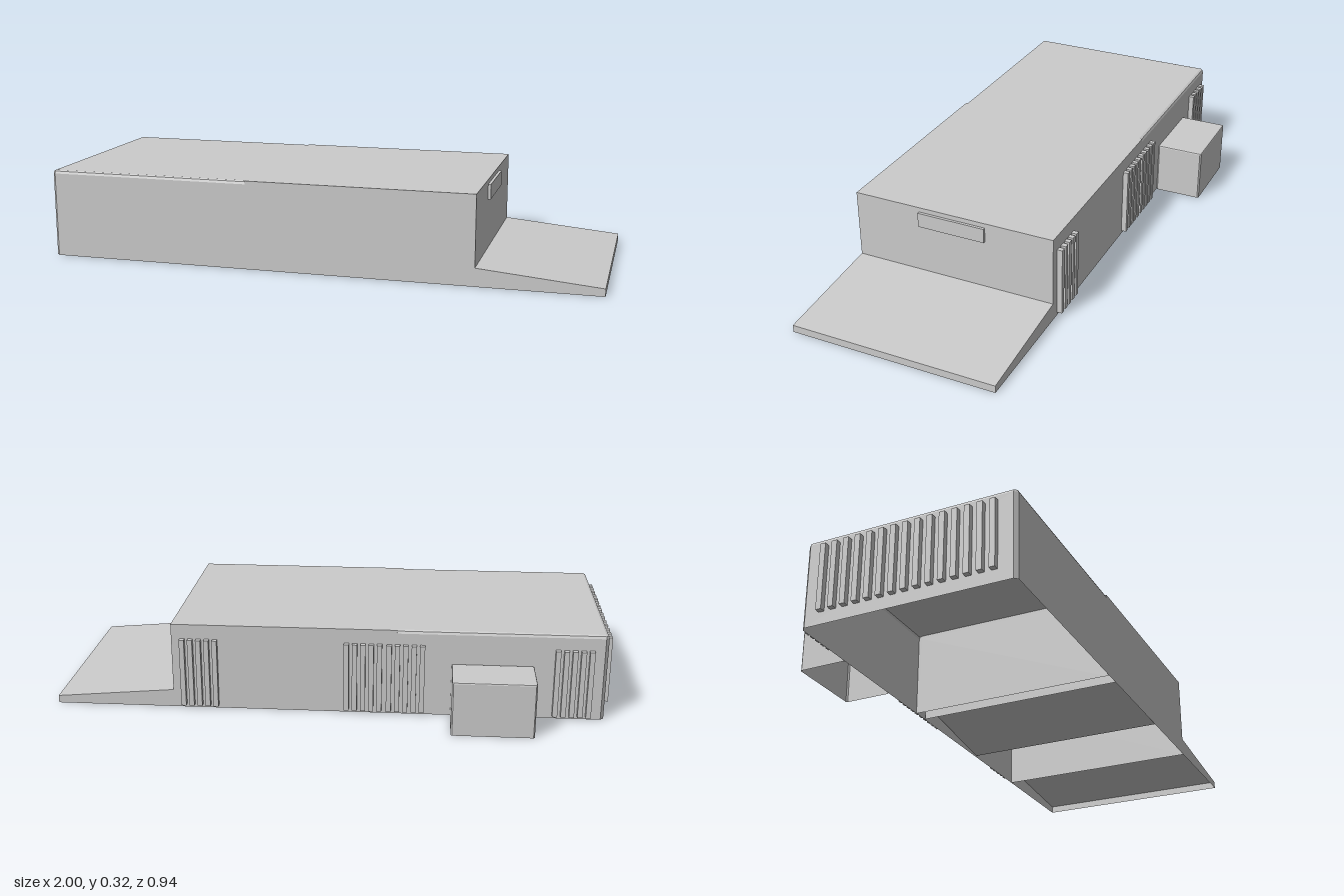
import * as THREE from 'three';

const material = new THREE.MeshStandardMaterial({ color: 0xcccccc, side: THREE.DoubleSide, flatShading: true });

function add(group, name, geometry) {
  const mesh = new THREE.Mesh(geometry, material);
  mesh.name = name;
  group.add(mesh);
  return mesh;
}

function box(group, name, x0, x1, y0, y1, z0, z1) {
  const mesh = add(group, name, new THREE.BoxGeometry(x1 - x0, y1 - y0, z1 - z0));
  mesh.position.set((x0 + x1) / 2, (y0 + y1) / 2, (z0 + z1) / 2);
  return mesh;
}

// Bottomless shell with softened corners; cR = 0 leaves the +x end square
function shell(x0, x1, z0, z1, h, c, cR) {
  const ring = (y, d, e) => [
    [x1 - cR - e, y, z1 - d], [x0 + c, y, z1 - d], [x0 + d, y, z1 - c], [x0 + d, y, z0 + c],
    [x0 + c, y, z0 + d], [x1 - cR - e, y, z0 + d], [x1 - e, y, z0 + c], [x1 - e, y, z1 - c],
  ];
  const rings = [ring(0, 0, 0), ring(h - c, 0, 0), ring(h - c * 0.3, c * 0.3, cR * 0.3), ring(h, c, cR)];
  const n = rings[0].length;
  const index = [];
  for (let r = 0; r < rings.length - 1; r++) {
    for (let i = 0; i < n; i++) {
      const a = r * n + i, b = r * n + (i + 1) % n;
      index.push(a, a + n, b, b, a + n, b + n);
    }
  }
  const top = (rings.length - 1) * n;
  for (let i = 1; i < n - 1; i++) index.push(top, top + i + 1, top + i);
  const geometry = new THREE.BufferGeometry();
  geometry.setAttribute('position', new THREE.Float32BufferAttribute(rings.flat(2), 3));
  geometry.setIndex(index);
  const flat = geometry.toNonIndexed();
  flat.computeVertexNormals();
  return flat;
}

// Sheet swept across z along an x-y profile
function sheet(profile, z0, z1) {
  const geometry = new THREE.PlaneGeometry(1, 1, profile.length - 1, 1);
  const p = geometry.attributes.position, n = profile.length;
  for (let i = 0; i < p.count; i++) {
    const [x, y] = profile[i % n];
    p.setXYZ(i, x, y, i < n ? z0 : z1);
  }
  geometry.computeVertexNormals();
  return geometry;
}

// Upright side panel in the x-y plane
function sidePanel(points, z) {
  const shape = new THREE.Shape(points.map(([x, y]) => new THREE.Vector2(x, y)));
  return new THREE.ShapeGeometry(shape).translate(0, 0, z);
}

export function createModel() {
  const model = new THREE.Group();
  const L = -0.98, M = -0.24, R = 0.57, back = -0.292, front = 0.468, H = 0.317;

  // Two bottomless halves of the main body
  add(model, 'endHall', shell(L, M, back, front, H, 0.012, 0));
  const hall = new THREE.BoxGeometry(R - M, H, front - back);
  const faces = Array.from(hall.index.array);
  faces.splice(18, 6); // open underside
  hall.setIndex(faces);
  add(model, 'mainHall', hall).position.set((M + R) / 2, H / 2, (front + back) / 2);

  // Ramp, open underneath
  const rampProfile = [[R, 0.065], [1, 0.027], [1, 0]];
  add(model, 'ramp', sheet(rampProfile, back, front));
  for (const z of [back, front]) add(model, 'rampSide', sidePanel([[R, 0], ...[...rampProfile].reverse()], z));

  // Sloping floor inside the main hall
  add(model, 'innerRamp', sheet([[-0.18, 0], [-0.18, 0.06], [0.24, 0.004]], back + 0.003, front - 0.003));

  // Annex on the back wall
  const annex = shell(-0.725, -0.435, -0.47, back, 0.197, 0.005, 0.005);
  add(model, 'annex', annex);

  // Panel above the ramp
  box(model, 'endPanel', R, 0.58, 0.246, 0.3, -0.038, 0.217);

  // Upright slats in groups of five along the back wall
  for (const [start, top] of [[-0.932, 0.26], [-0.34, 0.264], [-0.188, 0.264], [0.403, 0.264]]) {
    const slats = new THREE.Group();
    slats.name = 'backSlats';
    for (let i = 0; i < 5; i++) {
      const x = start + i * 0.0295;
      box(slats, 'slat', x, x + 0.018, 0.012, top, -0.311, back);
    }
    model.add(slats);
  }

  // Row of slats on the end wall
  const endSlats = new THREE.Group();
  endSlats.name = 'endSlats';
  for (let i = 0; i < 15; i++) {
    const z = -0.228 + i * 0.0437;
    box(endSlats, 'slat', -1, L, 0.045, 0.287, z, z + 0.02);
  }
  model.add(endSlats);

  return model;
}
